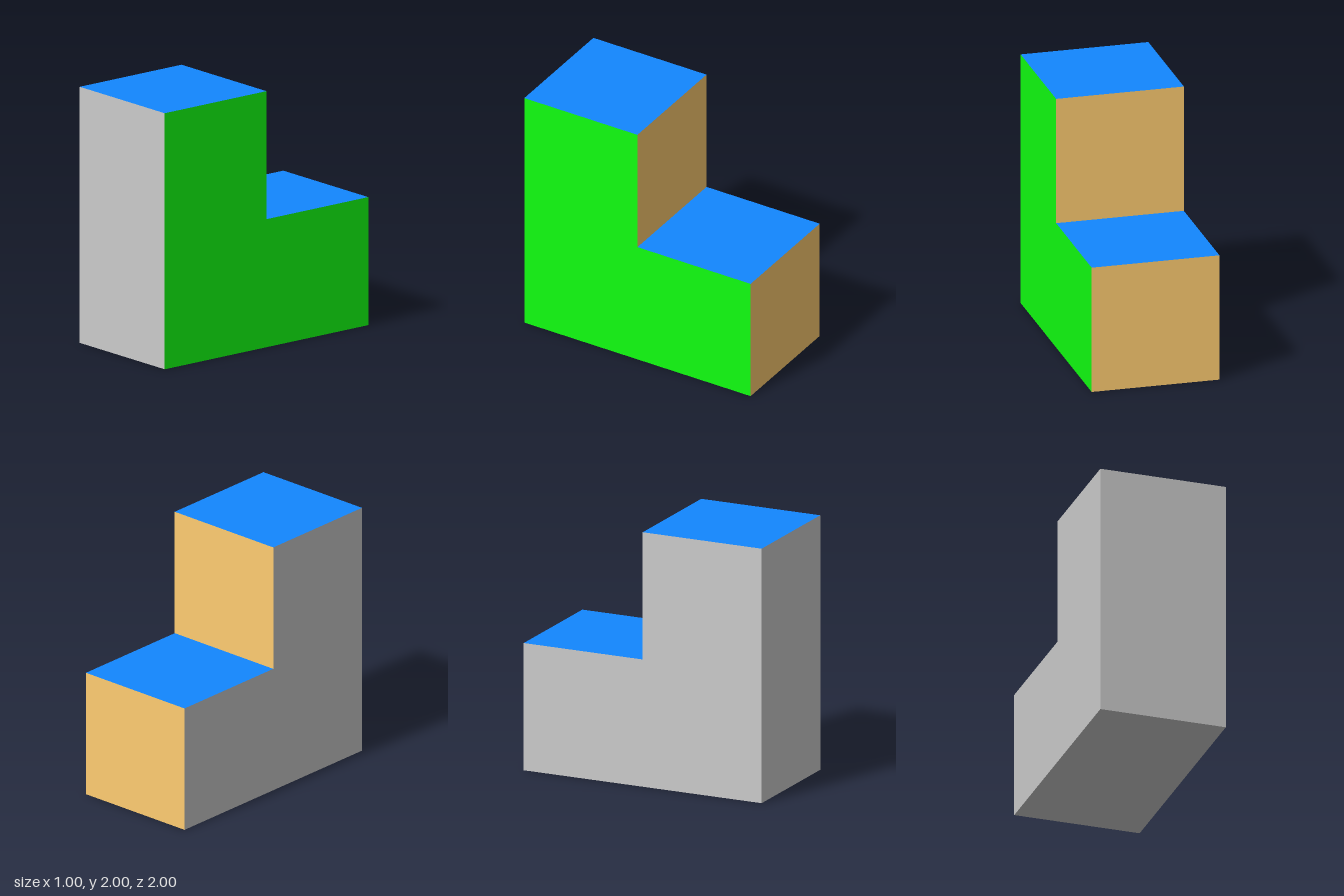
import * as THREE from 'three';

const WIDTH = 1;
const paint = (color) => new THREE.MeshStandardMaterial({ color });

export function createModel() {
  const model = new THREE.Group();
  model.name = 'steppedBlock';

  const grey = paint(0xcccccc);
  const green = paint(0x11ff11);
  const blue = paint(0x1287ff);
  const tan = paint(0xffcd71);

  const add = (name, geometry, material) => {
    const mesh = new THREE.Mesh(geometry, material);
    mesh.name = name;
    model.add(mesh);
    return mesh;
  };

  // L-shaped side profile, counter-clockwise, as (-z, y)
  const profile = [[-1, 0], [1, 0], [1, 1], [0, 1], [0, 2], [-1, 2]]
    .map(([u, y]) => new THREE.Vector2(u, y));

  // One panel across the width for each edge of the profile
  const panels = [
    ['bottom', grey], ['lowerBack', tan], ['stepTop', blue],
    ['upperBack', tan], ['top', blue], ['front', grey],
  ];
  panels.forEach(([name, material], i) => {
    const a = profile[i];
    const b = profile[(i + 1) % profile.length];
    const panel = add(name, new THREE.PlaneGeometry(WIDTH, a.distanceTo(b)), material);
    panel.position.set(0, (a.y + b.y) / 2, -(a.x + b.x) / 2);
    panel.rotation.x = Math.atan2(b.x - a.x, a.y - b.y);
  });

  // Side walls: one faces +x, the other is the mirrored profile facing -x
  const plusSide = add('greenSide', new THREE.ShapeGeometry(new THREE.Shape(profile)), green);
  plusSide.rotation.y = Math.PI / 2;
  plusSide.position.x = WIDTH / 2;

  const mirrored = profile.map((p) => new THREE.Vector2(-p.x, p.y)).reverse();
  const minusSide = add('greySide', new THREE.ShapeGeometry(new THREE.Shape(mirrored)), grey);
  minusSide.rotation.y = -Math.PI / 2;
  minusSide.position.x = -WIDTH / 2;

  return model;
}
